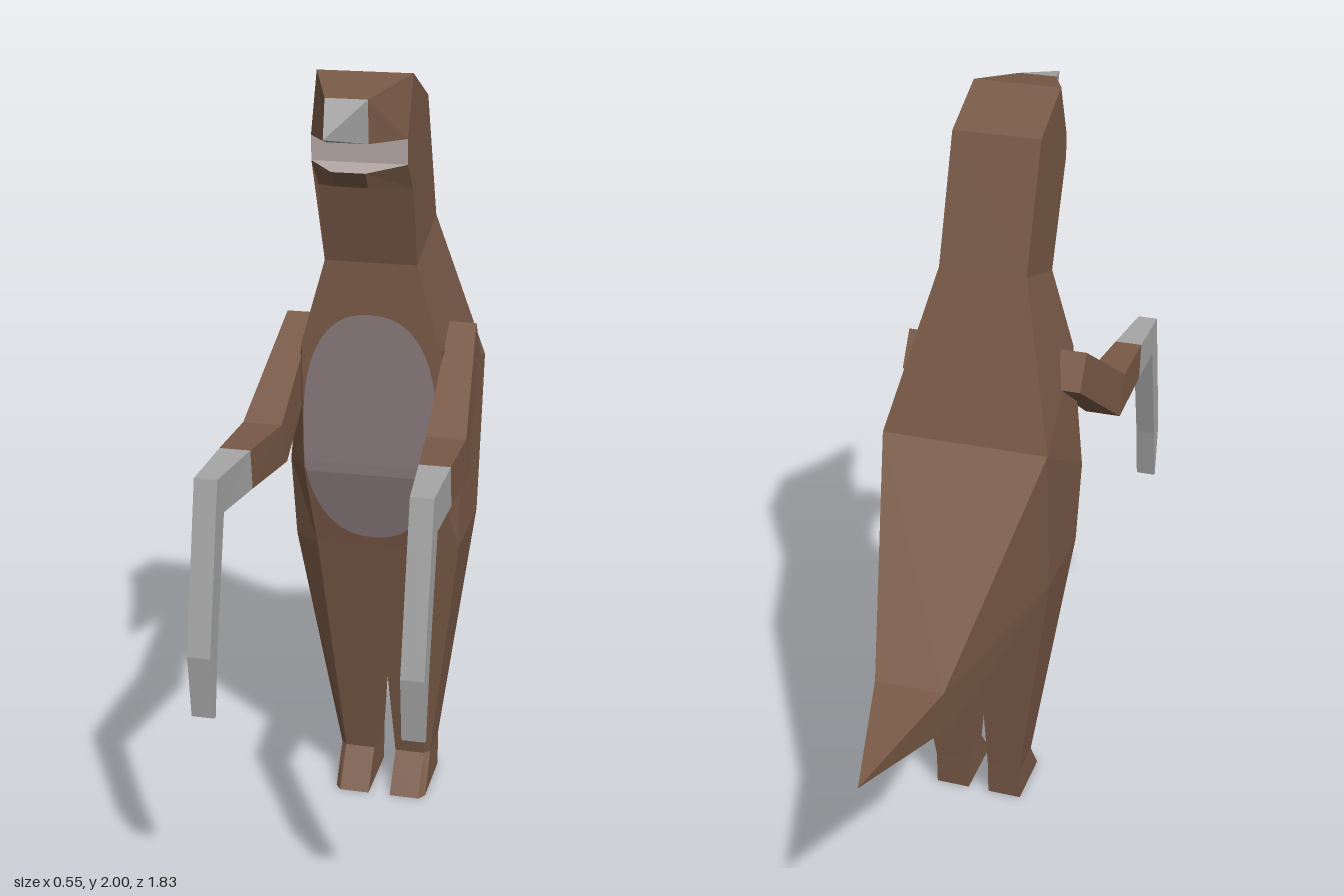
import * as THREE from 'three';

const material = (name, color) => {
  const m = new THREE.MeshStandardMaterial({ color, flatShading: true });
  m.name = name;
  return m;
};

const flip = ([x, y, z]) => [-x, y, z];
const mirrored = (faces) => faces.map((f) => f.map(flip).reverse());
const bothSides = (faces) => [...faces, ...mirrored(faces)];

// Quads spanning from a +x edge line to its mirror image
const strip = (points) => points.slice(1).map((q, i) => [points[i], q, flip(q), flip(points[i])]);

// Skin between closed rings, with end caps
function loft(rings) {
  const faces = [rings[0], [...rings[rings.length - 1]].reverse()];
  for (let i = 0; i + 1 < rings.length; i++) {
    const a = rings[i], b = rings[i + 1];
    a.forEach((p, j) => {
      const k = (j + 1) % a.length;
      faces.push([p, b[j], b[k], a[k]]);
    });
  }
  return faces;
}

// Mesh from polygons, each cut into a fan; collapsed triangles are dropped
function mesh(name, mat, faces) {
  const pos = [];
  const tri = new THREE.Triangle();
  for (const f of faces) {
    for (let i = 1; i + 1 < f.length; i++) {
      const t = [f[0], f[i], f[i + 1]];
      tri.set(...t.map((p) => new THREE.Vector3(...p)));
      if (tri.getArea() > 1e-7) pos.push(...t.flat());
    }
  }
  const g = new THREE.BufferGeometry();
  g.setAttribute('position', new THREE.Float32BufferAttribute(pos, 3));
  g.computeVertexNormals();
  const m = new THREE.Mesh(g, mat);
  m.name = name;
  return m;
}

export function createModel() {
  const hide = material('brown hide', 0x785946);
  const horn = material('grey horn', 0xa6a6a6);
  const bellySkin = material('belly skin', 0x88787a);
  const mouthSkin = material('pale mouth', 0xb5a9a7);
  const model = new THREE.Group();
  model.name = 'clawedBiped';

  // Key points of the +x half
  const crown = [0.115, 2.0, 0.30], nape = [0.115, 1.92, 0.13], chin = [0.115, 1.73, 0.30];
  const gapLow = [0.115, 1.80, 0.36], gapHigh = [0.115, 1.86, 0.36];
  const snoutTop = [0.05, 1.97, 0.48], snoutLow = [0.05, 1.87, 0.48];
  const jawTop = [0.04, 1.80, 0.47], jawLow = [0.04, 1.76, 0.44];
  const throat = [0.115, 1.53, 0.25], neckBack = [0.115, 1.60, 0.02];
  const chest = [0.175, 1.32, 0.258], belly = [0.17, 0.99, 0.275], groin = [0.15, 0.77, 0.232];
  const flank = [0.22, 0.99, 0.215], hip = [0.215, 0.77, 0.19];
  const back = [0.22, 1.19, -0.13], rump = [0.215, 0.77, -0.07];
  const tailTop = [0.09, 0.73, -0.56], tailLow = [0.09, 0.59, -0.50], tailTip = [0, 0.68, -0.91];

  // Head with open jaws
  model.add(mesh('head', hide, [
    ...bothSides([
      [chin, throat, neckBack, nape, crown, gapHigh, gapLow],
      [gapHigh, crown, snoutTop, snoutLow],
      [chin, gapLow, jawTop, jawLow],
    ]),
    ...strip([snoutTop, crown, nape, neckBack]),
    ...strip([throat, chin, jawLow, jawTop]),
    ...strip([gapHigh, snoutLow]),
  ]));
  model.add(mesh('mouth', mouthSkin, strip([jawTop, gapLow, gapHigh])));

  // Beak: four-sided spike
  const beak = new THREE.Mesh(
    new THREE.ConeGeometry(0.05 * Math.SQRT2, 0.21, 4).rotateY(Math.PI / 4).rotateX(Math.PI / 2), horn);
  beak.name = 'beak';
  beak.position.set(0, 1.92, 0.585);
  model.add(beak);

  // Torso
  model.add(mesh('torso', hide, [
    ...bothSides([
      [throat, chest, back, neckBack],
      [chest, flank, hip, rump, back],
      [chest, belly, flank],
      [belly, groin, hip, flank],
    ]),
    ...strip([neckBack, back]),
    ...strip([groin, belly, chest, throat]),
  ]));

  // Tail
  model.add(mesh('tail', hide, [
    ...bothSides([[back, rump, tailLow, tailTop], [tailTop, tailLow, tailTip]]),
    ...strip([back, tailTop, tailTip]),
    ...strip([tailTip, tailLow, rump]),
  ]));

  // Belly patch: thin rounded panel following the front of the torso
  const frontZ = (y) => {
    const line = [groin, belly, chest, throat];
    const i = y < belly[1] ? 0 : y < chest[1] ? 1 : 2;
    const [, y0, z0] = line[i], [, y1, z1] = line[i + 1];
    return z0 + ((z1 - z0) * (y - y0)) / (y1 - y0);
  };
  const edge = [];
  for (let i = 0; i <= 32; i++) {
    const t = -Math.cos((Math.PI * i) / 32);
    const y = 1.1 + 0.3 * t;
    edge.push([0.17 * Math.max(0, 1 - Math.abs(t) ** 2.5) ** 0.42, y, frontZ(y) + 0.005]);
  }
  model.add(mesh('bellyPatch', bellySkin, strip(edge)));

  // Legs: rings run inner front, front, outer front, outer back, inner back
  const legRing = (y, inner, mid, outer, zFront, zSide, zBack) => [
    [inner, y, zFront], [mid, y, zFront], [outer, y, zSide], [outer, y, zBack], [inner, y, zBack],
  ];
  const leg = loft([
    legRing(0.77, 0, 0.15, 0.215, 0.232, 0.19, -0.07),
    legRing(0.10, 0.03, 0.11, 0.125, 0.105, 0.09, -0.02),
    legRing(0.0, 0.03, 0.11, 0.125, 0.18, 0.16, -0.015),
  ]);

  // Arms and claws: rings from upper and lower (y, z) edges and an x range
  const armRing = (yU, zU, yL, zL, xIn, xOut) => [
    [xIn, yU, zU], [xOut, yU, zU], [xOut, yL, zL], [xIn, yL, zL],
  ];
  const wrist = armRing(1.17, 0.63, 1.07, 0.62, 0.20, 0.275);
  const arm = loft([
    armRing(1.36, 0.14, 1.27, 0.085, 0.175, 0.243),
    armRing(1.165, 0.44, 1.055, 0.40, 0.178, 0.275),
    wrist,
  ]);
  const claw = loft([
    wrist,
    armRing(1.17, 0.82, 1.075, 0.78, 0.22, 0.275),
    armRing(0.77, 0.917, 0.77, 0.862, 0.22, 0.275),
    armRing(0.61, 0.903, 0.61, 0.893, 0.22, 0.275),
  ]);

  for (const [side, place] of [['left', (f) => f], ['right', mirrored]]) {
    model.add(mesh(side + 'Leg', hide, place(leg)));
    model.add(mesh(side + 'Arm', hide, place(arm)));
    model.add(mesh(side + 'Claw', horn, place(claw)));
  }
  return model;
}
